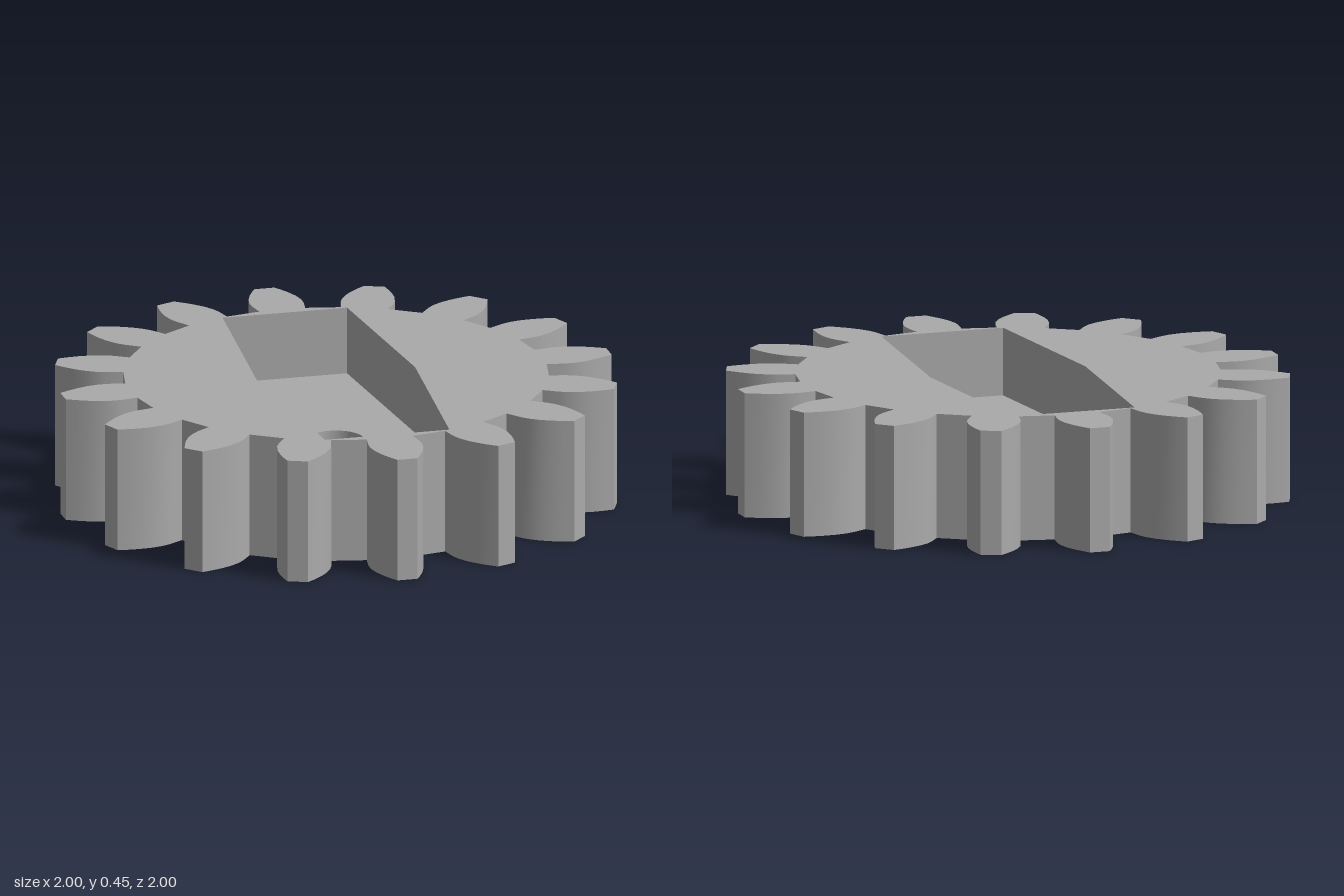
import * as THREE from 'three';
import { toCreasedNormals } from 'three/addons/utils/BufferGeometryUtils.js';

const TEETH = 16, HEIGHT = 0.45, FLOOR = 0.205, RECESS = 0.155;

// Half tooth: [half width, distance from the axis], root to tip
const FLANK = [[0.084, 0.75], [0.094, 0.81], [0.095, 0.845], [0.087, 0.89], [0.073, 0.93], [0.056, 0.966], [0.037, 1]];

function gearOutline() {
  const tooth = [
    ...FLANK.map(([w, r]) => new THREE.Vector2(r, -w)),
    ...FLANK.slice().reverse().map(([w, r]) => new THREE.Vector2(r, w)),
  ];
  const points = [];
  const centre = new THREE.Vector2();
  for (let i = 0; i < TEETH; i++) {
    for (const p of tooth) points.push(p.clone().rotateAround(centre, (i / TEETH) * Math.PI * 2));
  }
  return points;
}

function circle(radius, sides = 48) {
  return Array.from({ length: sides }, (_, i) => {
    const a = (i / sides) * Math.PI * 2;
    return new THREE.Vector2(Math.cos(a) * radius, Math.sin(a) * radius);
  });
}

// Flat horizontal face with a hole, facing up or down
function face(outline, hole, y, up) {
  const shape = new THREE.Shape(outline);
  shape.holes.push(new THREE.Path(hole));
  return new THREE.ShapeGeometry(shape).rotateX(up ? -Math.PI / 2 : Math.PI / 2).translate(0, y, 0);
}

// Upright wall along a closed outline; inward walls face the axis
function wall(outline, y0, y1, inward) {
  const pts = inward ? outline.slice().reverse() : outline;
  const pos = [];
  pts.forEach((a, i) => {
    const b = pts[(i + 1) % pts.length];
    pos.push(a.x, y0, -a.y, b.x, y0, -b.y, b.x, y1, -b.y);
    pos.push(a.x, y0, -a.y, b.x, y1, -b.y, a.x, y1, -a.y);
  });
  const geo = new THREE.BufferGeometry();
  geo.setAttribute('position', new THREE.Float32BufferAttribute(pos, 3));
  return toCreasedNormals(geo, 0.45);
}

export function createModel() {
  const group = new THREE.Group();
  group.name = 'gear';
  const grey = new THREE.MeshStandardMaterial({ color: 0xaaaaaa });
  grey.name = 'grey';
  const add = (name, geometry) => {
    const mesh = new THREE.Mesh(geometry, grey);
    mesh.name = name;
    group.add(mesh);
  };

  const gear = gearOutline();
  const bore = circle(0.1);
  const recess = circle(0.193);
  const pocket = [[0.29, 0], [0.228, 0.715], [-0.228, 0.715], [-0.29, 0], [-0.228, -0.715], [0.228, -0.715]]
    .map(([x, y]) => new THREE.Vector2(x, y));

  // Toothed body
  add('toothedRim', wall(gear, 0, HEIGHT, false));
  add('topFace', face(gear, pocket, HEIGHT, true));
  add('bottomFace', face(gear, recess, 0, false));

  // Six-sided pocket sunk into the top
  add('pocketWalls', wall(pocket, FLOOR, HEIGHT, true));
  add('pocketFloor', face(pocket, bore, FLOOR, true));

  // Centre bore with a wider round recess underneath
  add('boreWall', wall(bore, RECESS, FLOOR, true));
  add('recessCeiling', face(recess, bore, RECESS, false));
  add('recessWall', wall(recess, 0, RECESS, true));

  return group;
}
